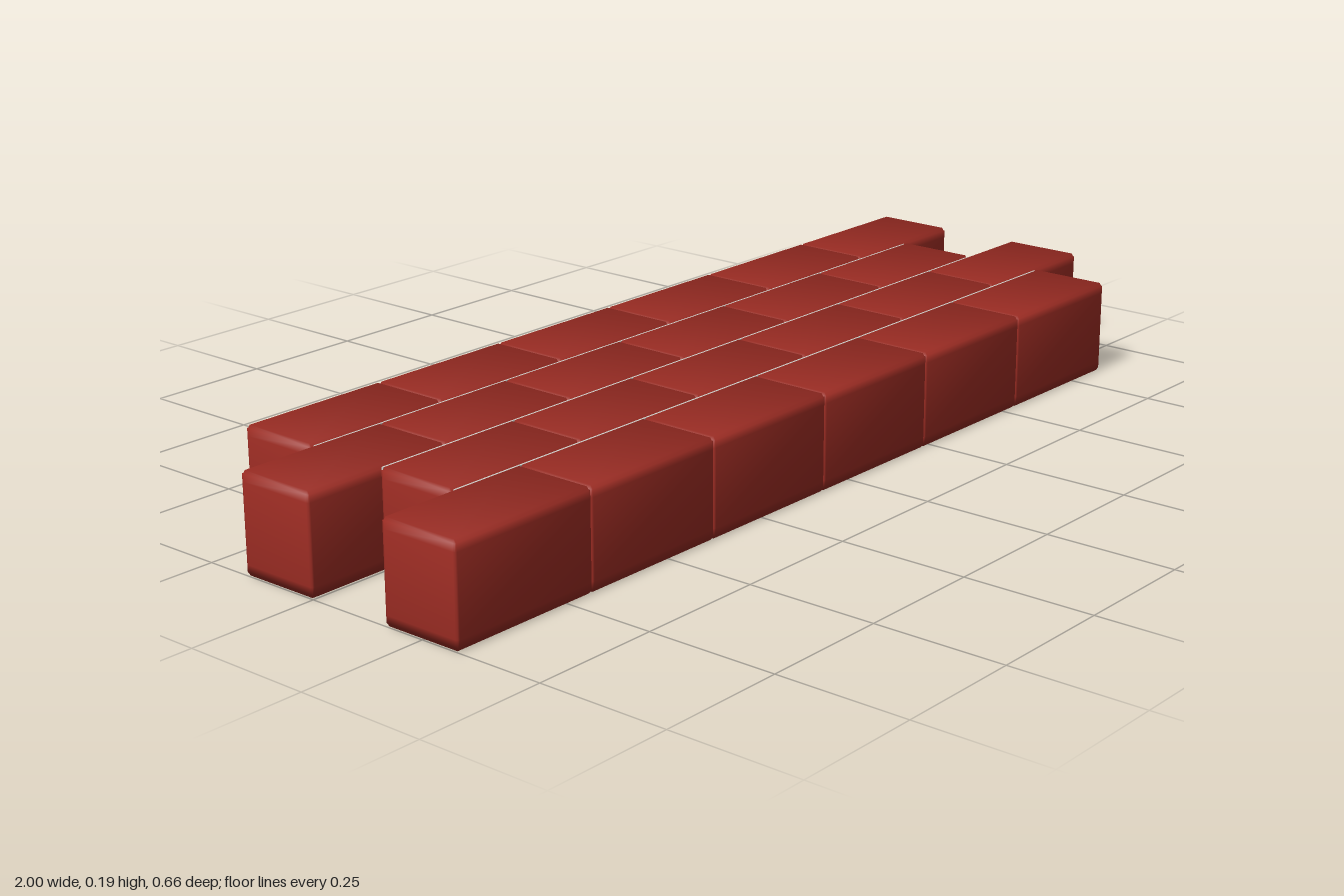
import * as THREE from 'three';

const SIZE = [0.307, 0.185, 0.162]; // one brick: length, height, depth
const INSET = [0.004, 0.02, 0.006]; // bevel reach along each axis
const PITCH_X = 0.3075;
const ROW_Z = [0.248, 0.083, -0.081, -0.248]; // row centres, front to back
const COLUMNS = 6;

// Box whose outer ring of faces becomes a soft bevel with smooth normals
function brickGeometry() {
  const geometry = new THREE.BoxGeometry(2, 2, 2, 3, 3, 3);
  const pos = geometry.attributes.position;
  const normal = geometry.attributes.normal;
  for (let i = 0; i < pos.count; i++) {
    const p = [pos.getX(i), pos.getY(i), pos.getZ(i)];
    const outer = p.map((v) => Math.abs(v) > 0.9);
    const bevelled = outer.filter(Boolean).length > 1;
    // Normals on the top and bottom lean outward more than those on the sides
    const lean = outer[1] ? [0.35, 1, 0.8] : [0.15, 0.12, 0.15];
    const n = new THREE.Vector3(...p.map((v, a) => Math.sign(v) * (outer[a] ? 1 : lean[a]))).normalize();
    const q = p.map((v, a) => {
      const pull = outer[a] ? (bevelled ? 0.3 : 0) : 1;
      return Math.sign(v) * (SIZE[a] / 2 - INSET[a] * pull);
    });
    pos.setXYZ(i, ...q);
    normal.setXYZ(i, n.x, n.y, n.z);
  }
  return geometry;
}

export function createModel() {
  const model = new THREE.Group();
  model.name = 'brickPaving';
  const brickRed = new THREE.MeshStandardMaterial({ color: 0x9f2d24 });
  brickRed.name = 'brickRed';
  const mortarGrey = new THREE.MeshStandardMaterial({ color: 0xcfcdc8 });
  mortarGrey.name = 'mortarGrey';
  const geometry = brickGeometry();
  const mortarGeometry = new THREE.BoxGeometry(1.68, 0.181, 0.004);

  // Rows run front to back, alternate rows shifted by half a brick
  ROW_Z.forEach((z, r) => {
    const row = new THREE.Group();
    row.name = `brickRow${r + 1}`;
    row.position.set(r % 2 ? 0.0775 : -0.0775, SIZE[1] / 2, z);
    for (let c = 0; c < COLUMNS; c++) {
      const brick = new THREE.Mesh(geometry, brickRed);
      brick.name = `brick${c + 1}`;
      brick.position.x = (c - (COLUMNS - 1) / 2) * PITCH_X;
      row.add(brick);
    }
    model.add(row);

    // Thin mortar joint against the back of every row but the last
    if (r < ROW_Z.length - 1) {
      const mortar = new THREE.Mesh(mortarGeometry, mortarGrey);
      mortar.name = `mortarJoint${r + 1}`;
      mortar.position.set(0, SIZE[1] / 2, z - SIZE[2] / 2);
      model.add(mortar);
    }
  });
  return model;
}
